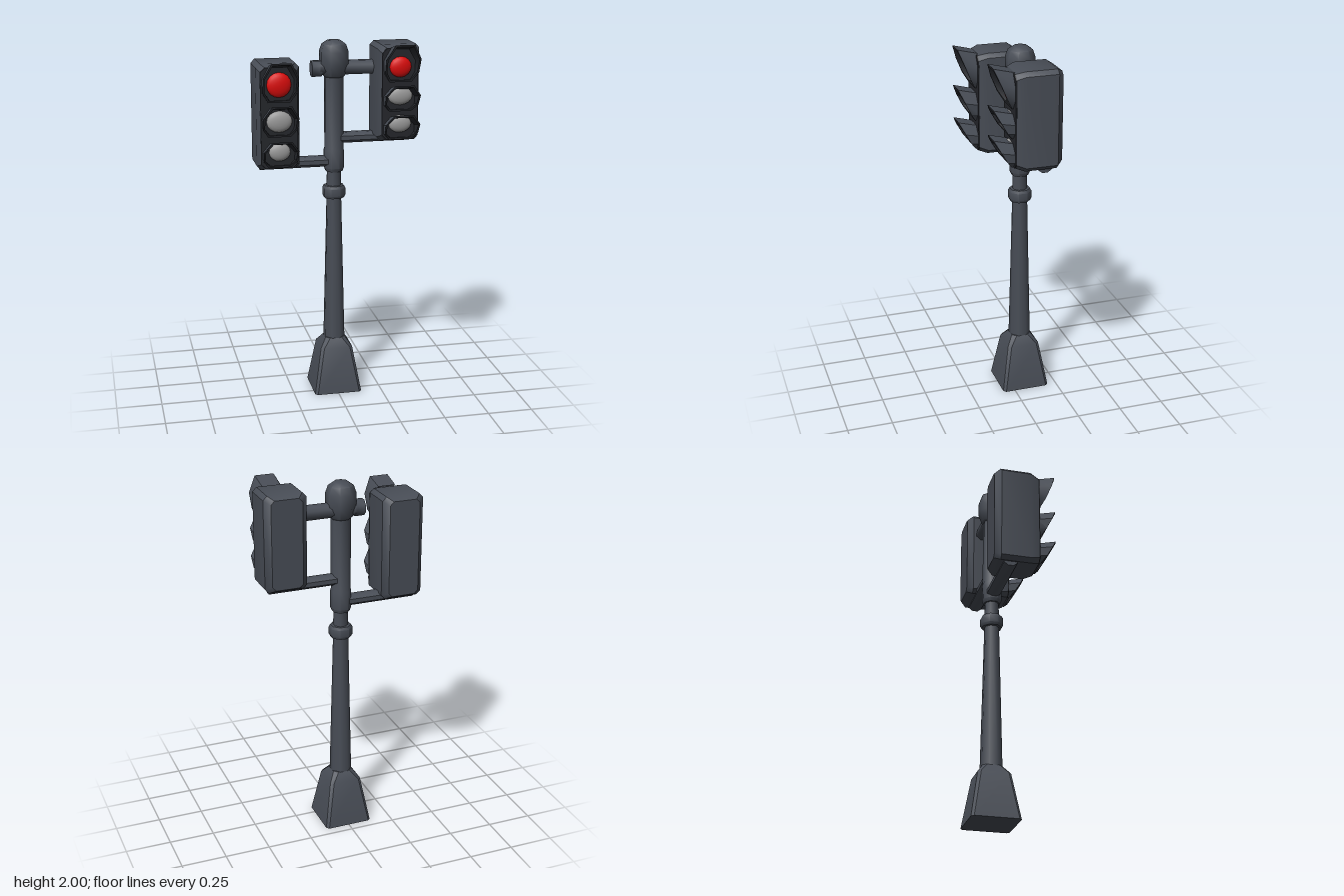
import * as THREE from 'three';
import { toCreasedNormals } from 'three/addons/utils/BufferGeometryUtils.js';

const material = (name, color, side = THREE.FrontSide) => {
  const m = new THREE.MeshStandardMaterial({ color, side });
  m.name = name;
  return m;
};

// Skins a list of equal-length rings of [x, y, z]; rings run counter-clockwise seen from +z
function skin(rings, capped = false) {
  const n = rings[0].length, pos = rings.flat(2), idx = [];
  for (let j = 0; j < rings.length - 1; j++)
    for (let i = 0; i < n; i++) {
      const a = j * n + i, b = j * n + (i + 1) % n;
      idx.push(a, b, b + n, a, b + n, a + n);
    }
  if (capped) {
    const last = (rings.length - 1) * n;
    for (let i = 1; i < n - 1; i++) idx.push(0, i + 1, i, last, last + i, last + i + 1);
  }
  const g = new THREE.BufferGeometry();
  g.setAttribute('position', new THREE.Float32BufferAttribute(pos, 3));
  g.setIndex(idx);
  return toCreasedNormals(g, 0.6);
}

// Rectangle with cut corners at depth z
const cutRect = (w, h, c, z) => [
  [w, -h + c, z], [w, h - c, z], [w - c, h, z], [-w + c, h, z],
  [-w, h - c, z], [-w, -h + c, z], [-w + c, -h, z], [w - c, -h, z],
];

export function createModel() {
  const model = new THREE.Group();
  model.name = 'trafficLight';
  const metal = material('slate metal', 0x484d56);
  const dark = material('dark housing', 0x25272c, THREE.DoubleSide);
  const red = material('red lens', 0xdc0c0c);
  const grey = material('unlit grey lens', 0x9a9a9a);
  const poleZ = -0.067;

  const add = (parent, name, geometry, mat, x = 0, y = 0, z = 0) => {
    const mesh = new THREE.Mesh(geometry, mat);
    mesh.name = name;
    mesh.position.set(x, y, z);
    parent.add(mesh);
    return mesh;
  };

  // Eight-sided turned part, flats facing the axes
  const turned = (name, profile) => {
    const k = 1 / Math.cos(Math.PI / 8);
    const g = new THREE.LatheGeometry(profile.map(([r, y]) => new THREE.Vector2(r * k, y)), 8);
    g.rotateY(Math.PI / 8);
    return add(model, name, toCreasedNormals(g, 0.85), metal, 0, 0, poleZ);
  };

  // Flared square foot
  const foot = skin([
    cutRect(0.134, 0.134, 0.014, 0), cutRect(0.09, 0.09, 0.016, 0.26),
    cutRect(0.055, 0.055, 0.022, 0.31),
  ], true).rotateX(-Math.PI / 2);
  add(model, 'foot', foot, metal, 0, 0, poleZ);

  // Pole, collar, upper sleeve and knob
  turned('pole', [[0.057, 0.28], [0.038, 1.15], [0.036, 1.3]]);
  turned('collar', [[0.036, 1.13], [0.053, 1.13], [0.06, 1.145], [0.06, 1.185], [0.052, 1.2], [0.034, 1.2]]);
  turned('sleeve', [[0.034, 1.28], [0.044, 1.28], [0.052, 1.3], [0.052, 1.4], [0.049, 1.41], [0.049, 1.83]]);
  turned('knob', [[0.045, 1.8], [0.057, 1.81], [0.075, 1.87], [0.075, 1.94], [0.062, 1.98], [0.035, 2], [0, 2]]);

  // Horizontal arms
  const arm = (name, x0, x1, y, ry, rz) => {
    const g = new THREE.CylinderGeometry(1, 1, x1 - x0, 8).rotateZ(Math.PI / 2).rotateX(Math.PI / 8);
    g.scale(1, ry / 0.924, rz / 0.924);
    add(model, name, toCreasedNormals(g, 0.85), metal, (x0 + x1) / 2, y, poleZ);
  };
  arm('topArm', -0.08, 0.24, 1.852, 0.037, 0.041);
  arm('topArmEnd', -0.125, -0.07, 1.85, 0.042, 0.041);
  arm('leftLowerArm', 0, 0.41, 1.467, 0.029, 0.037);
  arm('rightLowerArm', -0.415, 0, 1.338, 0.029, 0.037);

  // Visor outline: half-width and height fraction, counter-clockwise from lower right
  const half = [[0.06, 0], [0.092, 0.25], [0.095, 0.62], [0.052, 1]];
  const outline = [...half, ...half.map(([u, v]) => [-u, v]).reverse()];
  const visorRing = (bottom, top, inset, front) => outline.map(([u, v]) => {
    const scale = front ? 1 : 0.95;
    const height = top - bottom - (front ? 0 : 0.028);
    const mid = bottom + height / 2;
    return [u * scale * (1 - inset / 0.095), mid + (v - 0.5) * (height - 2 * inset),
      front ? 0.105 + 0.092 * v ** 0.8 : 0.085];
  });

  // One signal head: housing, dark face, three visors and lenses
  const signalHead = (name, x, y0, y1, lamps) => {
    const head = new THREE.Group();
    head.name = name;
    head.position.x = x;
    model.add(head);
    const mid = (y0 + y1) / 2, h = (y1 - y0) / 2;
    const housing = skin([
      cutRect(0.085, h - 0.02, 0.02, -0.157), cutRect(0.116, h, 0.022, -0.125),
      cutRect(0.116, h, 0.022, 0.045), cutRect(0.1, h - 0.014, 0.025, 0.09),
    ], true);
    add(head, 'housing', housing, metal, 0, mid);
    add(head, 'facePlate', skin([
      cutRect(0.1, h - 0.014, 0.025, 0.088), cutRect(0.098, h - 0.016, 0.025, 0.096),
    ], true), dark, 0, mid);

    lamps.forEach(([bottom, top, y, rx, ry], i) => {
      const outerBack = visorRing(bottom, top, 0, false), outerFront = visorRing(bottom, top, 0, true);
      const innerFront = visorRing(bottom, top, 0.01, true), innerBack = visorRing(bottom, top, 0.01, false);
      add(head, 'visor', skin([outerBack, outerFront]), metal);
      add(head, 'visorLining', skin([outerFront, innerFront, innerBack]), dark);
      const dome = new THREE.SphereGeometry(1, 16, 5, 0, Math.PI * 2, 0, Math.PI / 2).rotateX(Math.PI / 2);
      dome.scale(rx, ry, 0.025);
      add(head, i === 0 ? 'redLens' : 'greyLens', dome, i === 0 ? red : grey, 0, y, 0.097);
    });
  };

  signalHead('leftSignalHead', 0.328, 1.462, 1.985, [
    [1.79, 2.0, 1.87, 0.06, 0.056],
    [1.632, 1.785, 1.715, 0.068, 0.05],
    [1.478, 1.627, 1.563, 0.063, 0.048],
  ]);
  signalHead('rightSignalHead', -0.328, 1.333, 1.905, [
    [1.705, 1.925, 1.797, 0.066, 0.067],
    [1.52, 1.7, 1.602, 0.069, 0.058],
    [1.355, 1.512, 1.438, 0.058, 0.05],
  ]);

  return model;
}
